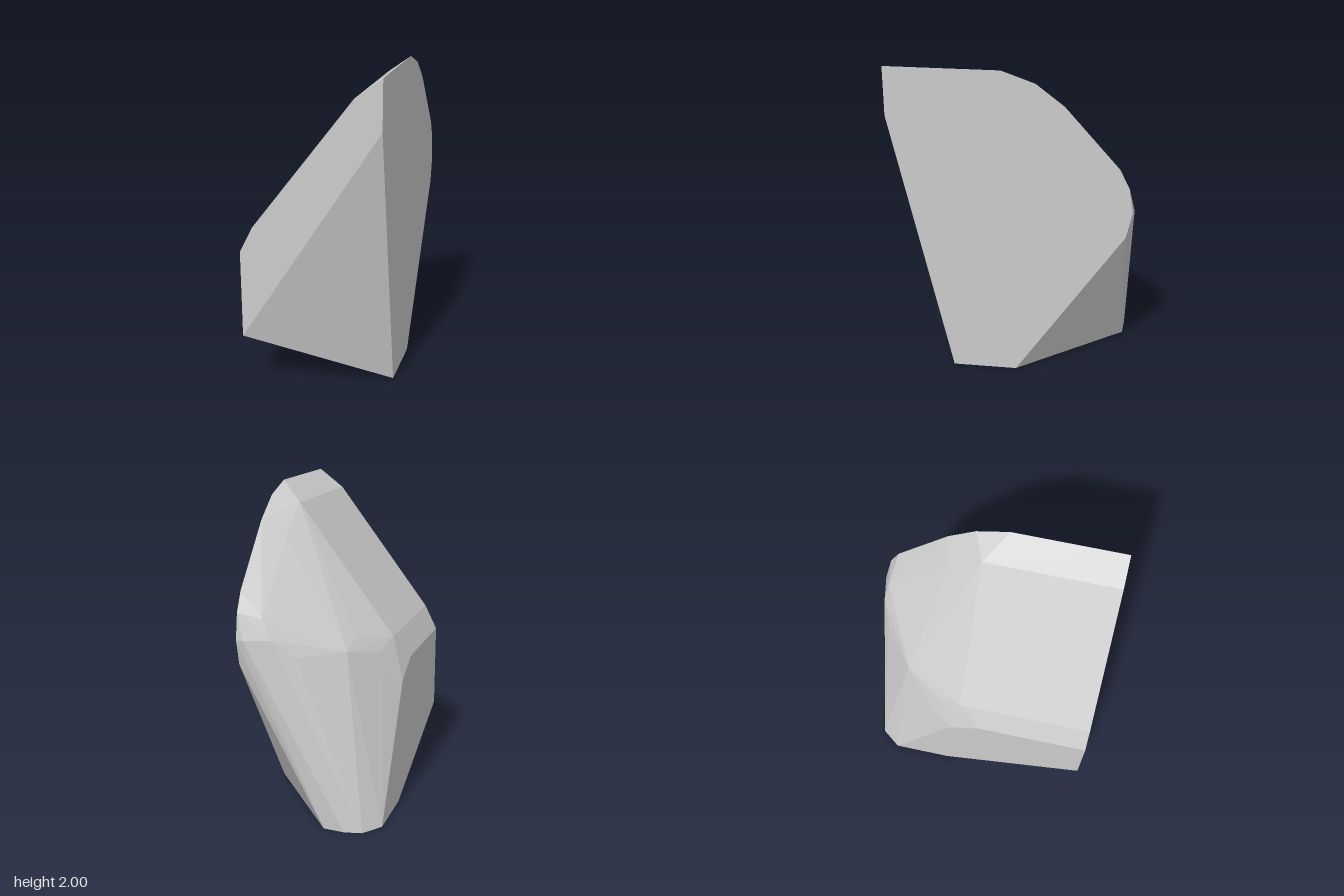
import * as THREE from 'three';
import { ConvexGeometry } from 'three/addons/geometries/ConvexGeometry.js';

const W = 0.43; // half width
const F = 0.74; // front plane

export function createModel() {
  const points = [];
  const add = (x, y, z) => points.push(new THREE.Vector3(x, y, z));

  // flat left side, as [y, z]
  [[2, F], [2, 0.05], [1.93, -0.15], [1.8, -0.32], [1.43, -0.65], [1.31, -0.71],
    [1.15, -0.735], [0.99, -0.7], [0, -0.035], [0, 0.37], [1.7, F]].forEach(([y, z]) => add(W, y, z));

  // flat right side, as [y, z]
  [[0.91, F], [0.91, 0.05], [0.8, -0.15], [0, -0.57], [0, -0.2], [0.36, F]].forEach(([y, z]) => add(-W, y, z));

  // sloping top, running from the front plane to the back ridge
  [[0.27, 1.88, -0.08], [-0.35, 1.07, -0.09]].forEach(([x, y, z]) => {
    add(x, y, F);
    add(x, y, z);
  });

  // rounded back corner of the base
  [[-0.1, -0.705], [-0.23, -0.715], [-0.34, -0.69]].forEach(([x, z]) => add(x, 0, z));

  // worn corners of the back
  add(-0.31, 1.01, -0.24);
  add(-0.34, 0.87, -0.28);
  add(-0.19, 1.12, -0.35);
  add(-0.17, 1.06, -0.47);
  add(0.08, 1.05, -0.66);
  add(0.28, 1.28, -0.69);
  add(0.22, 1.16, -0.715);
  add(0.38, 1.15, -0.745);
  add(0.36, 1.84, -0.14);
  add(0.28, 1.7, -0.29);

  const rock = new THREE.Mesh(
    new ConvexGeometry(points),
    new THREE.MeshStandardMaterial({ color: 0xcccccc, flatShading: true })
  );
  rock.name = 'rock';

  const group = new THREE.Group();
  group.name = 'rockShard';
  group.add(rock);
  return group;
}
